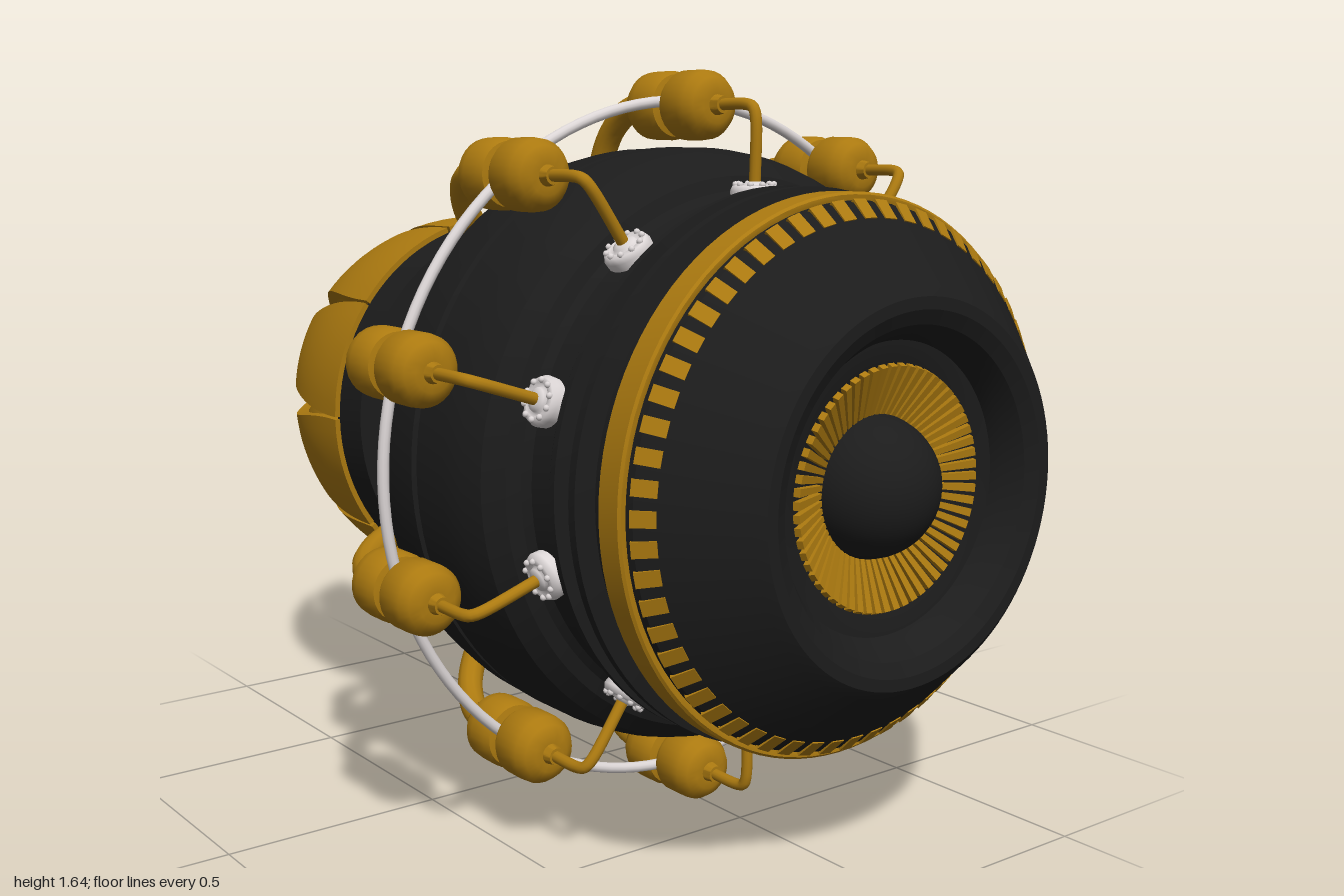
import * as THREE from 'three';
import { mergeGeometries, toCreasedNormals } from 'three/addons/utils/BufferGeometryUtils.js';

const black = new THREE.MeshStandardMaterial({ color: 0x1c1c1c });
const gold = new THREE.MeshStandardMaterial({ color: 0xac7a10 });
const white = new THREE.MeshStandardMaterial({ color: 0xdcd6d6 });
const COUNT = 10;

// Profile of [radius, z] pairs (z rising on the outside) turned around the z axis
function turned(profile, segments = 80, crease = 0.5) {
  const pts = profile.map(([r, z]) => new THREE.Vector2(r, z));
  return toCreasedNormals(new THREE.LatheGeometry(pts, segments).rotateX(Math.PI / 2), crease);
}

// Copies of one geometry spread around the z axis, as one geometry
function spread(geometry, n, offset = 0) {
  const copies = [];
  for (let i = 0; i < n; i++) copies.push(geometry.clone().rotateZ(((i + offset) / n) * Math.PI * 2));
  return mergeGeometries(copies);
}

function tube(points, radius, segments = 24) {
  const curve = new THREE.CatmullRomCurve3(points.map(([y, z]) => new THREE.Vector3(0, y, z)), false, 'centripetal');
  return new THREE.TubeGeometry(curve, segments, radius, 12);
}

// Curved, tapering shell plate: a box bent around the axis
function petalGeometry() {
  const geo = new THREE.BoxGeometry(1, 1, 1, 8, 1, 20);
  const p = geo.attributes.position;
  for (let i = 0; i < p.count; i++) {
    const s = 0.5 - p.getZ(i); // 0 at the base, 1 at the tip
    const outer = 0.478 - 0.195 * Math.pow(s, 2.6);
    const r = outer - (p.getY(i) < 0 ? 0.035 : 0);
    const half = THREE.MathUtils.degToRad(17.6 - 7.4 * THREE.MathUtils.smoothstep(s, 0.05, 1));
    const a = p.getX(i) * 2 * half;
    p.setXYZ(i, Math.sin(a) * r, Math.cos(a) * r, -0.47 - 0.53 * s);
  }
  return toCreasedNormals(geo, 0.6);
}

export function createModel() {
  const model = new THREE.Group();
  const axis = new THREE.Group();
  axis.name = 'device';
  axis.position.y = 0.828;
  model.add(axis);
  const add = (name, geometry, material, parent = axis) => {
    const mesh = new THREE.Mesh(geometry, material);
    mesh.name = name;
    parent.add(mesh);
    return mesh;
  };

  // Main body, from the rear collar to the recessed front face
  add('body', turned([
    [0, -0.48], [0.465, -0.48], [0.465, -0.365], [0.4, -0.36], [0.4, -0.185],
    [0.465, -0.18], [0.465, -0.065], [0.525, -0.06], [0.545, -0.03], [0.56, 0.0],
    [0.595, 0.03], [0.605, 0.05], [0.64, 0.06], [0.652, 0.13], [0.655, 0.205],
    [0.645, 0.21], [0.645, 0.225], [0.657, 0.23], [0.657, 0.33], [0.65, 0.39],
    [0.635, 0.44], [0.6, 0.475], [0.57, 0.485], [0.555, 0.5], [0.55, 0.58],
    [0.575, 0.59], [0.582, 0.6], [0.582, 0.615], [0.545, 0.62], [0.545, 0.66],
    [0.582, 0.662], [0.582, 0.682], [0.54, 0.69], [0.54, 0.75], [0.56, 0.8],
    [0.555, 0.825], [0.405, 0.985], [0.385, 1.0], [0.36, 1.0], [0.33, 0.985],
    [0.305, 0.95], [0.295, 0.925], [0.25, 0.92], [0.14, 0.87], [0, 0.87],
  ], 96, 0.45), black);

  // Gold rim with its row of teeth on the front slope
  add('rim', turned([
    [0.53, 0.742], [0.57, 0.742], [0.575, 0.748], [0.575, 0.805], [0.57, 0.81],
    [0.562, 0.81], [0.54, 0.8],
  ], 96), gold);
  const tooth = new THREE.BoxGeometry(0.032, 0.018, 0.05).rotateX(0.8).translate(0, 0.538, 0.835);
  add('rimTeeth', spread(tooth, 60), gold);

  // Radial slats around the ball in the front recess
  const slat = new THREE.BoxGeometry(0.0165, 0.115, 0.015);
  const sp = slat.attributes.position;
  for (let i = 0; i < sp.count; i++) if (sp.getY(i) < 0) sp.setX(i, sp.getX(i) * 0.62);
  slat.rotateX(0.42).translate(0, 0.195, 0.902);
  add('frontSlats', spread(slat, 60), gold);
  add('frontBall', new THREE.SphereGeometry(0.147, 40, 24).translate(0, 0, 0.865), black);

  // Wire mesh around the neck
  const wire = new THREE.BoxGeometry(0.006, 0.008, 0.175).translate(0, 0.403, -0.272);
  add('neckWires', spread(wire, 60), gold);
  const hoops = [];
  for (let i = 0; i < 7; i++) {
    hoops.push(new THREE.TorusGeometry(0.403, 0.004, 6, 80).translate(0, 0, -0.19 - i * 0.0273));
  }
  add('neckHoops', mergeGeometries(hoops), gold);

  // Rear dome wrapped in petals
  const dome = [];
  for (let i = 0; i <= 20; i++) {
    const a = (i / 20) * Math.PI / 2;
    dome.push([0.43 * Math.sin(a), -0.465 - 0.5 * Math.cos(a)]);
  }
  add('rearDome', turned(dome, 64), black);
  const petal = petalGeometry();
  for (let i = 0; i < COUNT; i++) {
    add('petal', petal, gold).rotation.z = (i / COUNT) * Math.PI * 2;
  }

  // Hoop threaded through the capsules
  add('hoop', new THREE.TorusGeometry(0.757, 0.012, 12, 120).translate(0, 0, 0.27), white);

  // Capsules, each with a thick rear pipe, a thin front pipe and a socket
  const R = 0.747;
  const capsule = turned([
    [0, 0.145], [0.04, 0.145], [0.06, 0.155], [0.073, 0.175], [0.075, 0.195], [0.075, 0.245],
    [0.068, 0.258], [0.05, 0.262], [0.05, 0.278], [0.068, 0.282], [0.075, 0.295],
    [0.075, 0.345], [0.073, 0.365], [0.06, 0.385], [0.04, 0.395], [0.022, 0.395],
    [0.018, 0.415], [0, 0.415],
  ], 28, 0.7).translate(0, R, 0);
  const rearPipe = tube([[R, 0.17], [R, 0.12], [0.73, 0.07], [0.69, 0.02], [0.63, -0.015], [0.54, -0.03]], 0.029);
  const rearJoint = new THREE.SphereGeometry(0.034, 16, 12).translate(0, 0.555, -0.028);
  const rearCollar = new THREE.CylinderGeometry(0.036, 0.036, 0.02, 20).rotateX(Math.PI / 2).translate(0, R, 0.138);
  const frontPipe = tube([[R, 0.38], [R, 0.49], [R - 0.006, 0.509], [R - 0.025, 0.518], [0.57, 0.518]], 0.0125, 32);
  const socket = new THREE.LatheGeometry([
    [0.05, 0.54], [0.052, 0.568], [0.046, 0.58], [0.034, 0.582], [0.028, 0.574],
    [0.024, 0.584], [0.013, 0.588], [0, 0.588],
  ].map(([r, y]) => new THREE.Vector2(r, y)), 24).translate(0, 0, 0.518);
  // Small studs around the socket flange
  const studs = [];
  for (let i = 0; i < 10; i++) {
    const a = (i / 10) * Math.PI * 2;
    studs.push(new THREE.SphereGeometry(0.007, 8, 6).translate(Math.cos(a) * 0.04, 0.582, 0.518 + Math.sin(a) * 0.04));
  }
  const studRing = mergeGeometries(studs);

  for (let i = 0; i < COUNT; i++) {
    const unit = new THREE.Group();
    unit.name = 'capsuleUnit';
    unit.rotation.z = (i / COUNT) * Math.PI * 2;
    axis.add(unit);
    add('capsule', capsule, gold, unit);
    add('rearPipe', rearPipe, gold, unit);
    add('rearJoint', rearJoint, gold, unit);
    add('rearCollar', rearCollar, gold, unit);
    add('frontPipe', frontPipe, gold, unit);
    add('socket', socket, white, unit);
    add('socketStuds', studRing, white, unit);
  }
  return model;
}
